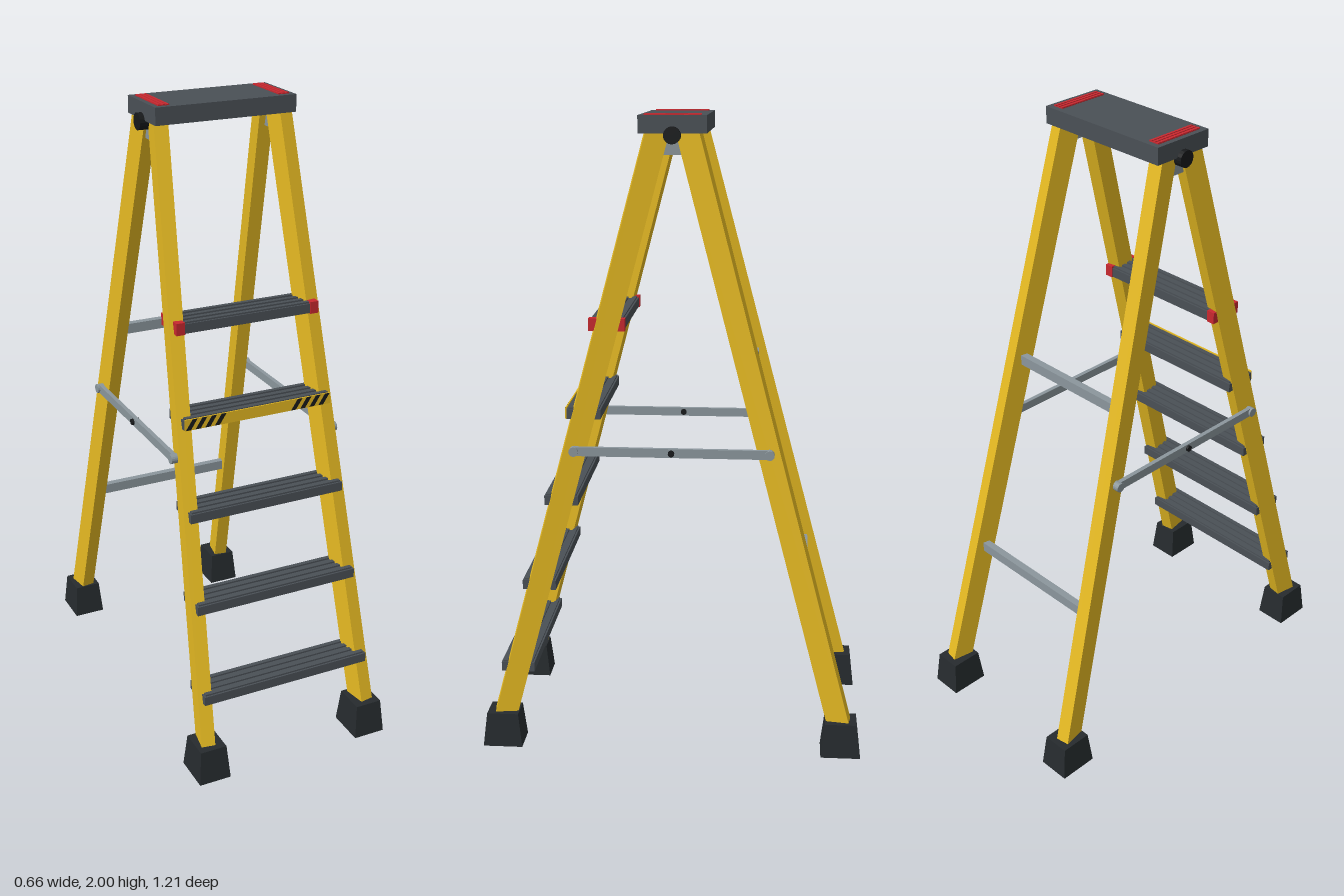
import * as THREE from 'three';

const mat = (color) => new THREE.MeshStandardMaterial({ color, flatShading: true });

export function createModel() {
  const root = new THREE.Group();
  const yellow = mat(0xe6ba22), charcoal = mat(0x4a5056), rubber = mat(0x262b2e);
  const red = mat(0xc8282f), steel = mat(0x8b969c), black = mat(0x17191b);

  const add = (name, geo, material, x, y, z, parent = root) => {
    const m = new THREE.Mesh(geo, material);
    m.name = name;
    m.position.set(x, y, z);
    parent.add(m);
    return m;
  };
  const box = (name, material, w, h, d, x, y, z, parent) =>
    add(name, new THREE.BoxGeometry(w, h, d), material, x, y, z, parent);
  // Cylinder lying along x
  const pin = (name, material, r, len, x, y, z, parent) =>
    add(name, new THREE.CylinderGeometry(r, r, len, 16).rotateZ(Math.PI / 2), material, x, y, z, parent);

  // Centre line of the rails at a given height
  const railX = (y) => 0.284 - 0.0437 * y;
  const railZ = (y) => 0.564 - 0.265 * y;

  // Tapered rubber foot
  const footGeo = new THREE.BoxGeometry(0.105, 0.11, 0.126);
  const p = footGeo.attributes.position;
  for (let i = 0; i < p.count; i++) {
    if (p.getY(i) > 0) {
      p.setX(i, p.getX(i) * 0.83);
      p.setZ(i, p.getZ(i) * 0.8);
    }
  }
  footGeo.computeVertexNormals();

  // Four splayed rails with feet
  for (const sx of [-1, 1]) {
    for (const sz of [-1, 1]) {
      const at = (y) => new THREE.Vector3(sx * railX(y), y, sz * railZ(y));
      const a = at(0.05), b = at(1.955);
      const mid = a.clone().add(b).multiplyScalar(0.5);
      const rail = box(sz > 0 ? 'frontRail' : 'rearRail', yellow, 0.044, 0.07, a.distanceTo(b), mid.x, mid.y, mid.z);
      rail.lookAt(b);
      add('foot', footGeo, rubber, sx * 0.278, 0.055, sz * 0.543);
    }
  }

  // Top cap with red grip strips
  const cap = new THREE.Group();
  cap.name = 'topCap';
  root.add(cap);
  box('capBoard', charcoal, 0.46, 0.053, 0.205, 0, 1.9695, 0, cap);
  for (const s of [-1, 1]) {
    box('gripPad', red, 0.036, 0.002, 0.17, s * 0.196, 1.997, 0, cap);
    for (const k of [-1, 0, 1]) box('gripRib', red, 0.008, 0.004, 0.17, s * 0.196 + k * 0.013, 1.998, 0, cap);
  }

  // Treads with ribbed tops
  [0.262, 0.539, 0.817, 1.094, 1.371].forEach((y, i) => {
    const tread = new THREE.Group();
    tread.name = 'tread' + (i + 1);
    tread.position.set(0, y, railZ(y));
    root.add(tread);
    const half = 0.286 - 0.0122 * i;
    box('treadBoard', charcoal, half * 2, 0.03, 0.106, 0, -0.002, 0, tread);
    for (let k = 0; k < 4; k++)
      box('treadRib', charcoal, half * 2 - 0.01, 0.006, 0.014, 0, 0.015, -0.0405 + k * 0.027, tread);

    // Red end caps on the highest tread
    if (i === 4) for (const s of [-1, 1]) box('treadEndCap', red, 0.028, 0.038, 0.112, s * 0.225, 0, 0, tread);

    // Hazard strip on the front of the fourth tread
    if (i === 3) {
      box('hazardStrip', yellow, 0.496, 0.036, 0.004, 0, 0, 0.055, tread);
      const stripe = new THREE.ExtrudeGeometry(new THREE.Shape([
        new THREE.Vector2(-0.019, -0.017), new THREE.Vector2(-0.003, -0.017),
        new THREE.Vector2(0.019, 0.017), new THREE.Vector2(0.003, 0.017),
      ]), { depth: 0.001, bevelEnabled: false });
      for (const s of [-1, 1])
        for (let k = 0; k < 4; k++)
          add('hazardStripe', stripe, black, s * (0.13 + k * 0.032), 0, 0.057, tread);
    }
  });

  // Rear cross bars
  for (const y of [0.539, 1.203])
    box('rearCrossBar', steel, railX(y) * 2, 0.033, 0.023, 0, y, -railZ(y));

  for (const s of [-1, 1]) {
    // Folding spreader bar with end bolts and centre pivot
    const spreader = new THREE.Group();
    spreader.name = 'spreader';
    spreader.position.set(s * 0.272, 0.98, 0);
    root.add(spreader);
    box('spreaderBar', steel, 0.014, 0.028, 0.6, 0, 0, 0, spreader);
    for (const z of [-0.303, 0.303]) pin('spreaderBolt', steel, 0.015, 0.036, -s * 0.004, 0, z, spreader);
    pin('spreaderPivot', black, 0.01, 0.026, s * 0.001, 0, 0, spreader);

    // Hinge plate and pivot below the cap
    box('hingePlate', steel, 0.014, 0.07, 0.07, s * 0.2, 1.915, 0);
    pin('hingePivot', black, 0.026, 0.05, s * 0.22, 1.938, 0);
  }

  return root;
}
